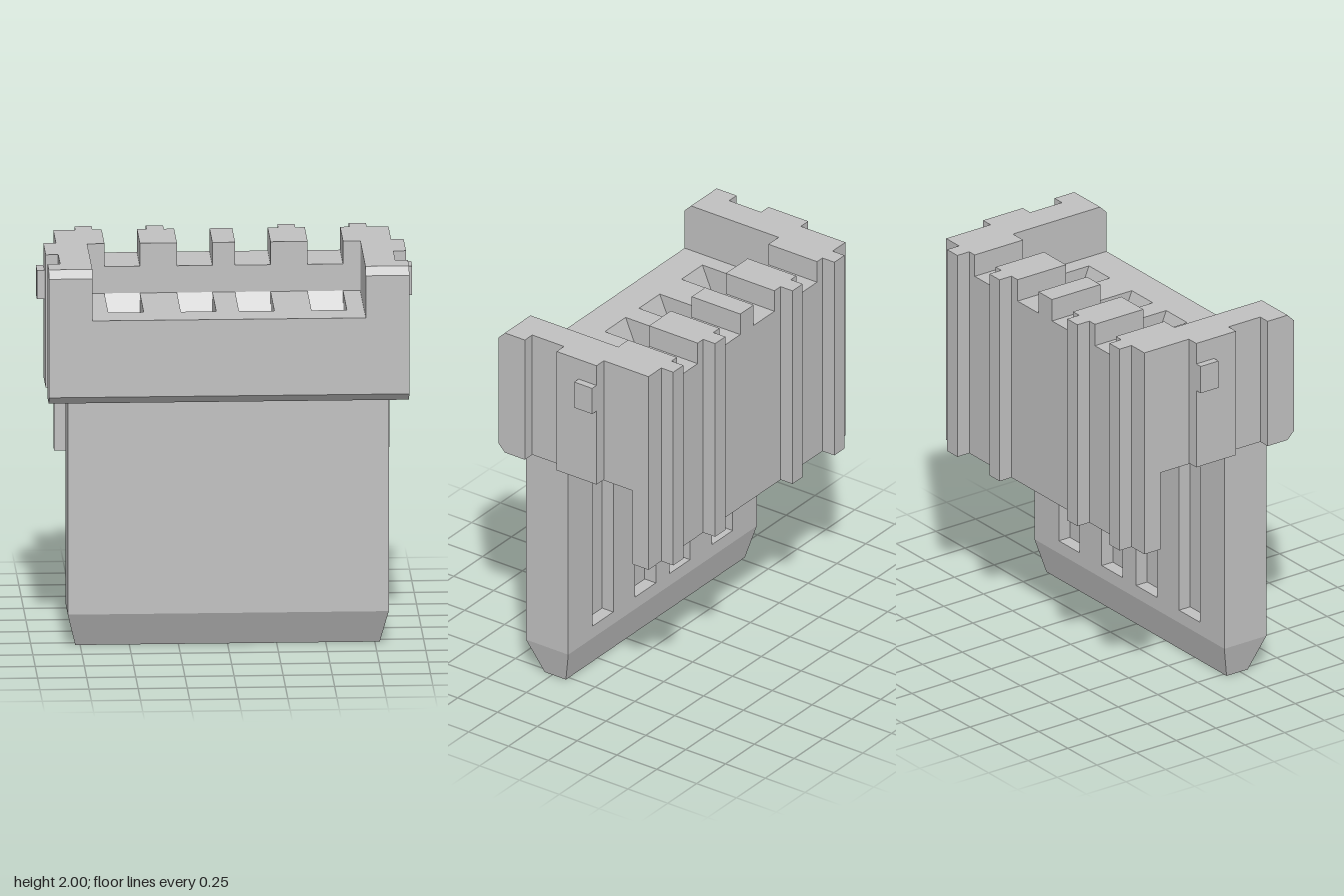
import * as THREE from 'three';

export function createModel() {
  const model = new THREE.Group();
  const grey = new THREE.MeshStandardMaterial({ color: 0xc0c0c0 });
  grey.name = 'light grey plastic';

  const add = (name, geometry) => {
    const mesh = new THREE.Mesh(geometry, grey);
    mesh.name = name;
    model.add(mesh);
    return mesh;
  };
  const box = (name, x0, x1, y0, y1, z0, z1) =>
    add(name, new THREE.BoxGeometry(x1 - x0, y1 - y0, z1 - z0))
      .position.set((x0 + x1) / 2, (y0 + y1) / 2, (z0 + z1) / 2);
  // Side profile given as [z, y] points, extruded from x0 to x1
  const profileX = (name, points, x0, x1) => {
    const shape = new THREE.Shape(points.map(([z, y]) => new THREE.Vector2(-z, y)));
    const geometry = new THREE.ExtrudeGeometry(shape, { depth: x1 - x0, bevelEnabled: false });
    add(name, geometry.rotateY(Math.PI / 2).translate(x0, 0, 0));
  };

  const slots = [-0.517, -0.148, 0.148, 0.517].map((c) => [c - 0.09, c + 0.09]);

  // Head profiles
  const backPlate = [[-0.41, 0.87], [-0.31, 0.87], [-0.31, 1.3]];
  const frontLip = [[0.445, 1.3], [0.485, 1.34]];
  const solid = [...backPlate, ...frontLip, [0.485, 1.74], [-0.105, 1.74], [-0.105, 2], [-0.41, 2]];
  const slotBack = [...backPlate, [0.04, 1.3], [0.04, 1.46], [-0.105, 1.74], [-0.105, 1.88], [-0.41, 1.88]];
  const slotFront = [[0.19, 1.3], ...frontLip, [0.485, 1.74], [0.31, 1.74], [0.19, 1.46]];
  const cheek = [...backPlate, ...frontLip, [0.485, 1.96], [0.445, 2], [-0.41, 2]];
  const frontFlange = [[0.32, 1.3], ...frontLip, [0.485, 1.96], [0.445, 2], [0.32, 2]];

  // Head middle: solid columns between funnel-shaped slots
  let x = -0.695;
  for (const [x0, x1] of slots) {
    profileX('headColumn', solid, x, x0);
    profileX('slotBackWall', slotBack, x0, x1);
    profileX('slotFrontWall', slotFront, x0, x1);
    x = x1;
  }
  profileX('headColumn', solid, x, 0.695);

  // Head sides: cheeks, flanges and latch nubs
  for (const s of [-1, 1]) {
    const span = (a, b) => (s > 0 ? [a, b] : [-b, -a]);
    profileX('headCheek', cheek, ...span(0.695, 0.853));
    profileX('frontFlange', frontFlange, ...span(0.853, 0.917));
    box('sideFlange', ...span(0.853, 0.917), 1.305, 2, -0.13, 0.12);
    box('latchNub', ...span(0.917, 0.955), 1.735, 1.885, -0.13, -0.018);
  }

  // Vertical ribs on the back
  for (const c of [-0.698, -0.335, 0.335, 0.698])
    box('backRib', c - 0.044, c + 0.044, 0.87, 2, -0.485, -0.41);

  // Blade with contact grooves open to the back
  const outline = [[-0.817, 0.12]];
  for (const [x0, x1] of slots) outline.push([x0, 0.12], [x0, 0.19], [x1, 0.19], [x1, 0.12]);
  outline.push([0.817, 0.12], [0.817, 0.385], [-0.817, 0.385]);
  const bladeShape = new THREE.Shape(outline.map(([px, z]) => new THREE.Vector2(px, -z)));
  const blade = new THREE.ExtrudeGeometry(bladeShape, { depth: 1.05, bevelEnabled: false });
  add('groovedBlade', blade.rotateX(-Math.PI / 2).translate(0, 0.25, 0));
  box('bladeBase', -0.817, 0.817, 0.18, 0.25, 0.12, 0.385);

  // Tapered blade tip
  const tip = new THREE.BoxGeometry(1.634, 0.18, 0.265).translate(0, 0.09, 0.2525);
  const p = tip.attributes.position;
  for (let i = 0; i < p.count; i++) {
    if (p.getY(i) > 0.05) continue;
    p.setX(i, Math.sign(p.getX(i)) * 0.775);
    p.setZ(i, p.getZ(i) > 0.25 ? 0.298 : 0.165);
  }
  tip.computeVertexNormals();
  add('bladeTip', tip);

  return model;
}
